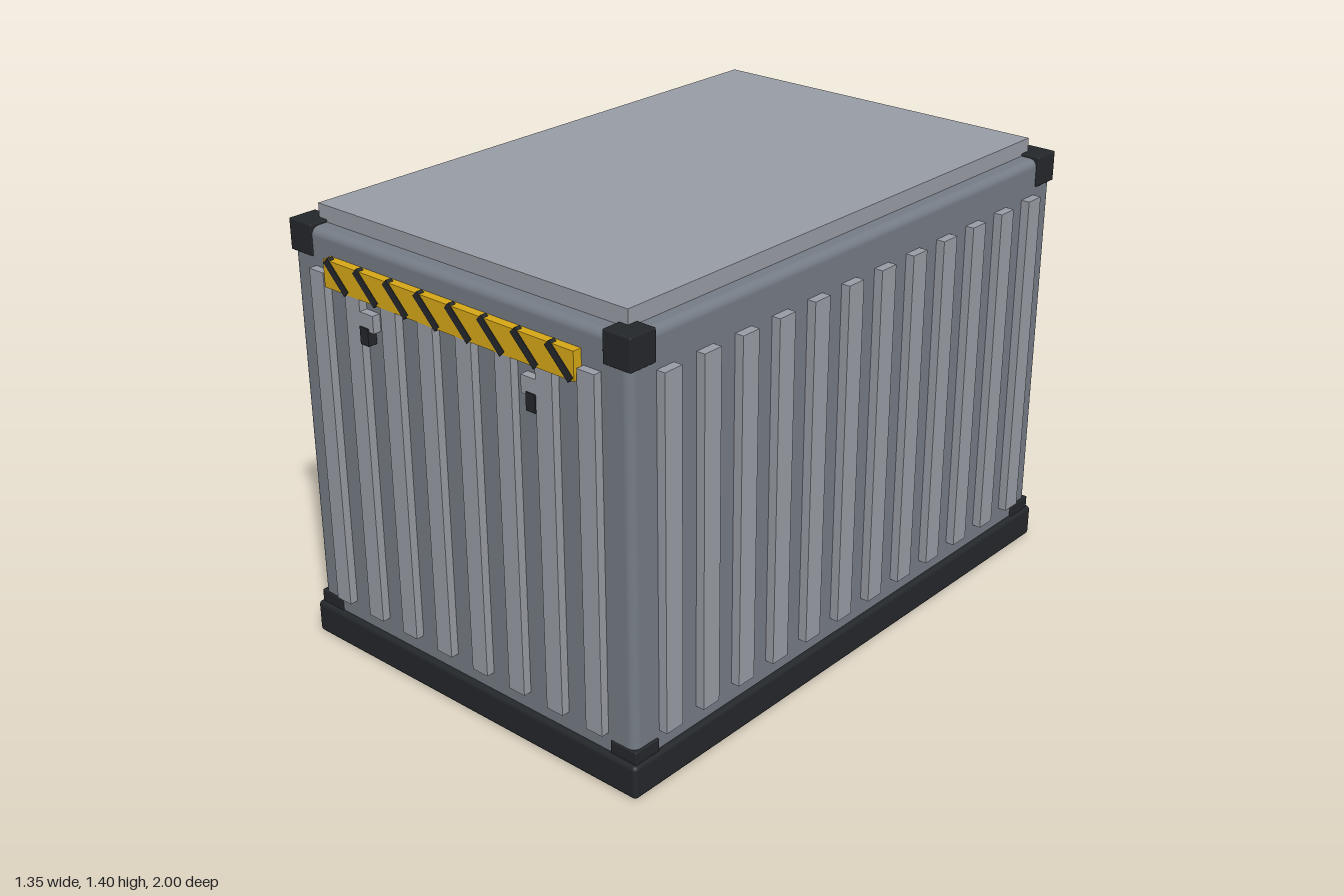
import * as THREE from 'three';
import { RoundedBoxGeometry } from 'three/addons/geometries/RoundedBoxGeometry.js';

const material = (color) => new THREE.MeshStandardMaterial({ color });

export function createModel() {
  const model = new THREE.Group();
  const dark = material(0x24272a);
  const panel = material(0x757c85);
  const light = material(0x989ca4);
  const yellow = material(0xd6a816);

  // Adds a box given its size and centre; a radius rounds its edges
  function box(name, mat, [w, h, d], [x, y, z], radius = 0) {
    const geometry = radius
      ? new RoundedBoxGeometry(w, h, d, 3, radius)
      : new THREE.BoxGeometry(w, h, d);
    const mesh = new THREE.Mesh(geometry, mat);
    mesh.name = name;
    mesh.position.set(x, y, z);
    model.add(mesh);
    return mesh;
  }

  // Base skid, container body and roof plate
  box('base', dark, [1.33, 0.106, 1.976], [0, 0.053, 0], 0.014);
  box('body', panel, [1.296, 1.27, 1.94], [0, 0.715, 0], 0.025);
  box('roofPlate', light, [1.186, 0.06, 1.828], [0, 1.37, 0]);

  // Corner castings, top and bottom
  for (const sx of [-1, 1]) {
    for (const sz of [-1, 1]) {
      for (const y of [0.097, 1.31]) {
        box('cornerCasting', dark, [0.095, 0.095, 0.095], [sx * 0.6075, y, sz * 0.926], 0.004);
      }
    }
  }

  // Vertical ribs on the front and back
  const ribHeight = 1.074, ribY = 0.701;
  for (let i = 0; i < 8; i++) {
    const x = (i - 3.5) * 0.149;
    for (const sz of [-1, 1]) {
      box('endRib', light, [0.06, ribHeight, 0.04], [x, ribY, sz * 0.976]);
    }
  }

  // Vertical ribs on the two long sides
  for (let i = 0; i < 12; i++) {
    const z = (i - 5.5) * 0.1525;
    for (const sx of [-1, 1]) {
      box('sideRib', light, [0.04, ribHeight, 0.066], [sx * 0.656, ribY, z]);
    }
  }

  // Hazard strip with slanted bars
  box('hazardStrip', yellow, [0.968, 0.084, 0.03], [0, 1.241, 0.983]);
  for (let i = 0; i < 8; i++) {
    const bar = box('hazardBar', dark, [0.025, 0.115, 0.02], [(i - 3.5) * 0.1235, 1.241, 0.99]);
    bar.rotation.z = Math.PI / 4;
  }

  // Latches
  for (const sx of [-1, 1]) {
    box('latchPlate', light, [0.054, 0.053, 0.04], [sx * 0.316, 1.136, 0.976]);
    box('latchHandle', dark, [0.034, 0.053, 0.04], [sx * 0.326, 1.093, 0.98]);
  }

  return model;
}
